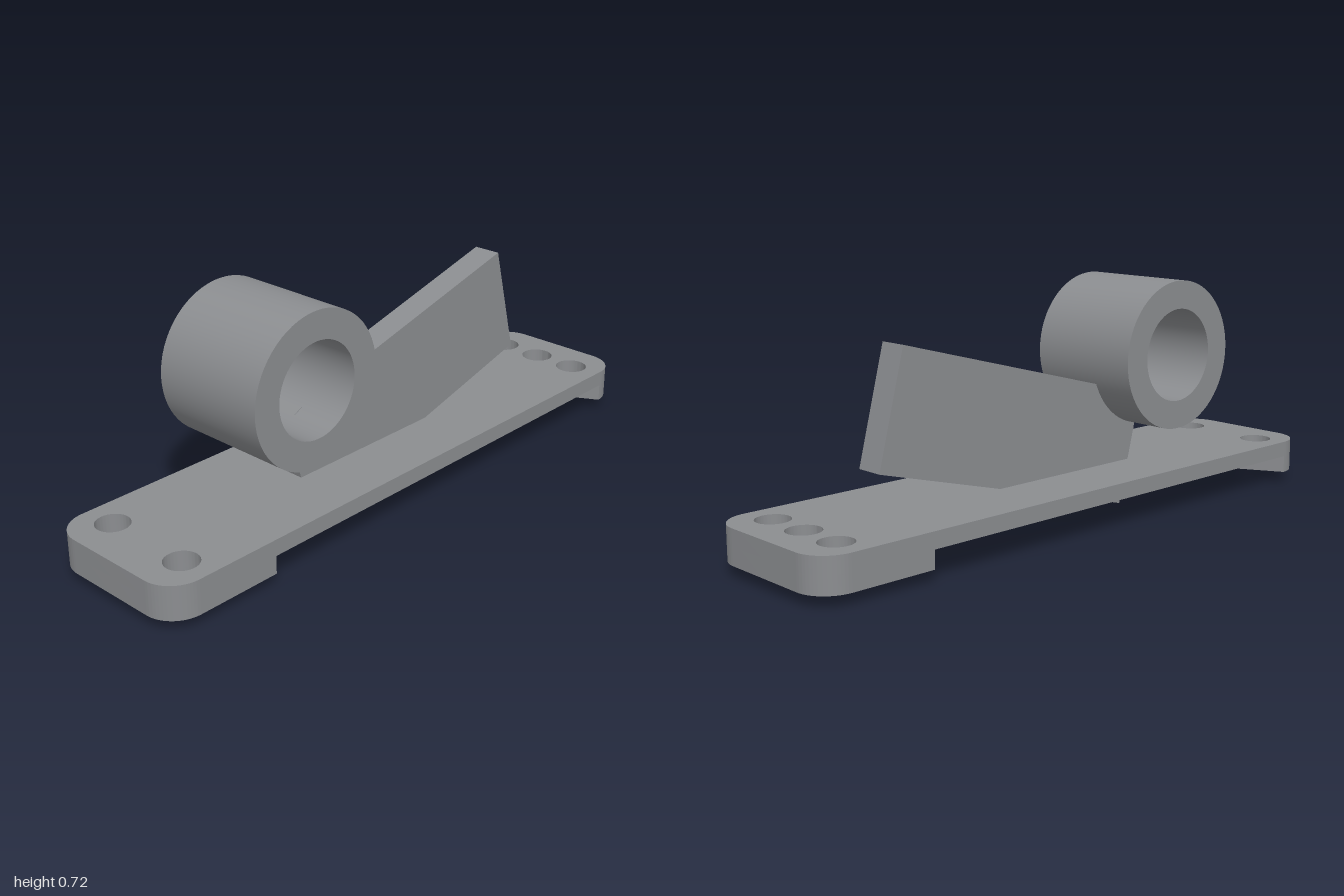
import * as THREE from 'three';
import { toCreasedNormals } from 'three/addons/utils/BufferGeometryUtils.js';

const grey = new THREE.MeshStandardMaterial({ color: 0x8b8d90 });
grey.name = 'grey';

const HALF = 1, DEPTH = 0.248, CORNER = 0.1, PAD = 0.633;
const PAD_BOTTOM = 0.035, PLATE_BOTTOM = 0.09, PLATE_TOP = 0.14;
const HOLE_X = 0.873, HOLE_Z = 0.145, WIDE = 0.051, NARROW = 0.037;

function addHole(shape, x, y, r) {
  const hole = new THREE.Path();
  hole.absarc(x, y, r, 0, Math.PI * 2, true);
  shape.holes.push(hole);
}

function part(name, shape, depth) {
  const geo = new THREE.ExtrudeGeometry(shape, { depth, bevelEnabled: false, curveSegments: 32 });
  const mesh = new THREE.Mesh(geo, grey);
  mesh.name = name;
  return mesh;
}

// Lay an extruded outline flat, with its underside at the given height
function layFlat(mesh, y) {
  mesh.geometry.rotateX(-Math.PI / 2);
  mesh.geometry.translate(0, y, 0);
  return mesh;
}

function smooth(mesh) {
  mesh.geometry = toCreasedNormals(mesh.geometry, 0.6);
  return mesh;
}

// Rounded rectangle across the whole length of the plate
function plateOutline() {
  const s = new THREE.Shape(), x = HALF - CORNER, y = DEPTH - CORNER;
  s.absarc(x, y, CORNER, 0, Math.PI / 2, false);
  s.absarc(-x, y, CORNER, Math.PI / 2, Math.PI, false);
  s.absarc(-x, -y, CORNER, Math.PI, Math.PI * 1.5, false);
  s.absarc(x, -y, CORNER, Math.PI * 1.5, Math.PI * 2, false);
  s.closePath();
  return s;
}

// Foot outline: rounded at the outer end, square at the inner end
function padOutline(side) {
  const s = new THREE.Shape(), x = HALF - CORNER, y = DEPTH - CORNER;
  if (side > 0) {
    s.moveTo(PAD, -DEPTH);
    s.absarc(x, -y, CORNER, -Math.PI / 2, 0, false);
    s.absarc(x, y, CORNER, 0, Math.PI / 2, false);
    s.lineTo(PAD, DEPTH);
  } else {
    s.moveTo(-PAD, DEPTH);
    s.absarc(-x, y, CORNER, Math.PI / 2, Math.PI, false);
    s.absarc(-x, -y, CORNER, Math.PI, Math.PI * 1.5, false);
    s.lineTo(-PAD, -DEPTH);
  }
  s.closePath();
  return s;
}

export function createModel() {
  const model = new THREE.Group();
  model.name = 'mountingBracket';

  // Base plate and end pads; the outer holes on the left end are counterbored
  const plate = plateOutline();
  const leftPad = padOutline(1);
  const rightPad = padOutline(-1);
  for (const z of [-HOLE_Z, HOLE_Z]) {
    addHole(plate, -HOLE_X, z, WIDE);
    addHole(rightPad, -HOLE_X, z, WIDE);
    addHole(plate, HOLE_X, z, WIDE);
    addHole(leftPad, HOLE_X, z, NARROW);
  }
  addHole(plate, HOLE_X, 0, WIDE);
  addHole(leftPad, HOLE_X, 0, WIDE);
  model.add(smooth(layFlat(part('basePlate', plate, PLATE_TOP - PLATE_BOTTOM), PLATE_BOTTOM)));
  model.add(smooth(layFlat(part('leftPad', leftPad, PLATE_BOTTOM - PAD_BOTTOM), PAD_BOTTOM)));
  model.add(smooth(layFlat(part('rightPad', rightPad, PLATE_BOTTOM - PAD_BOTTOM), PAD_BOTTOM)));

  // Tilted fin passing through the plate, trimmed short of the tube's bore
  const finShape = new THREE.Shape([
    [-0.30, 0], [0.655, 0.26], [0.565, 0.605], [-0.33, 0.364], [-0.388, 0.333],
  ].map(([x, y]) => new THREE.Vector2(x, y)));
  const fin = part('fin', finShape, 0.09);
  fin.position.z = -0.045;
  model.add(fin);

  // Open tube
  const ring = new THREE.Shape();
  ring.absarc(0, 0, 0.233, 0, Math.PI * 2, false);
  addHole(ring, 0, 0, 0.145);
  const tube = smooth(part('tube', ring, 0.38));
  tube.position.set(-0.407, 0.485, -0.19);
  model.add(tube);

  return model;
}
